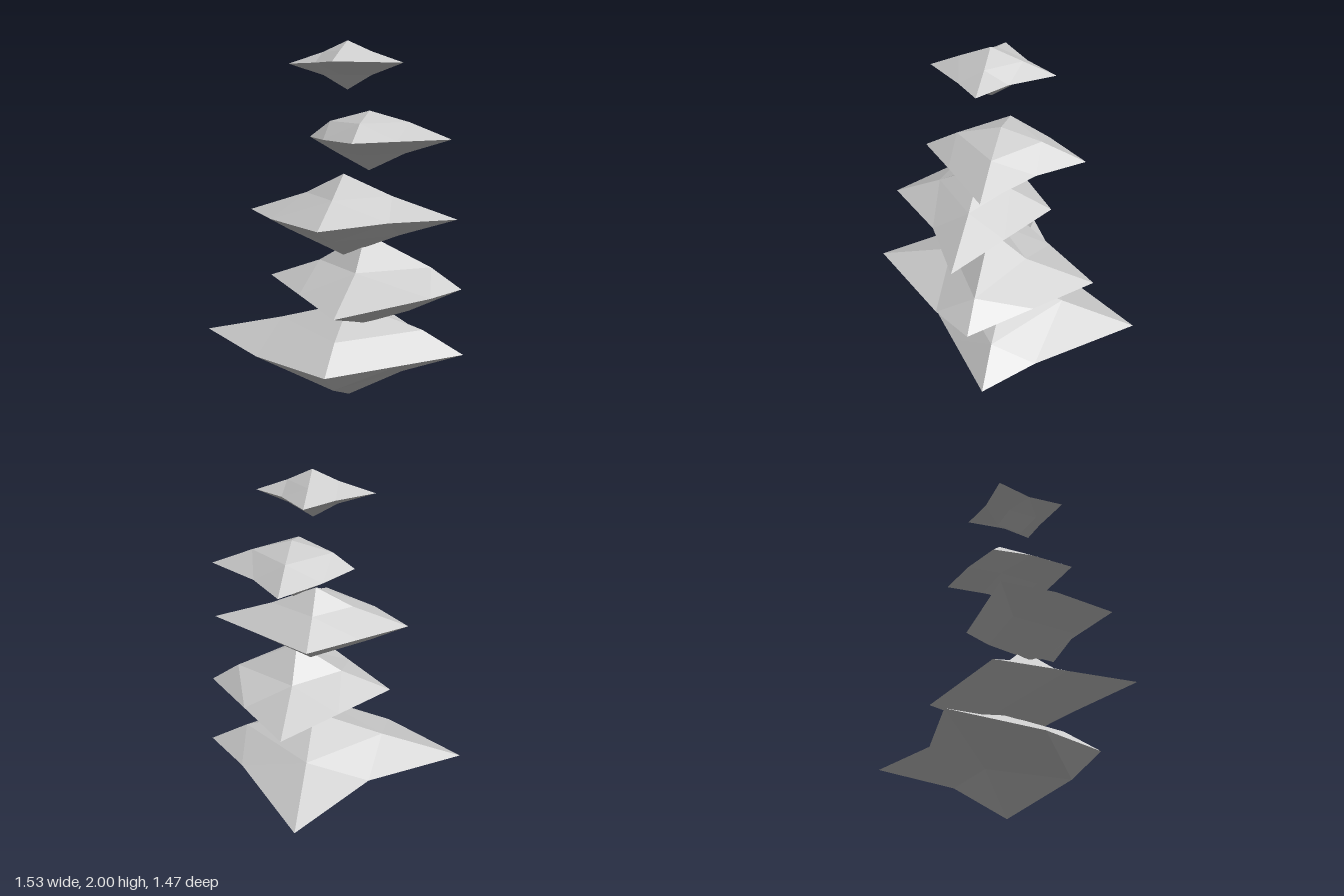
import * as THREE from 'three';

const EVEN = [0.5, 0.5];

// Each tier is an irregular octahedron with every edge split once.
// tips: reach along -x, +x, -y, +y, -z, +z from the centre.
// lift: height of the sloping edge points, as a share of the bottom and top tips.
// side, depth: reach of those points along x and z (low -, low +, high -, high +).
// waist: level edge points as shares of the x and z tips (-x-z, +x-z, -x+z, +x+z).
const TIERS = [
  {
    centre: [0.115, 0.315, 0.02], tips: [0.885, 0.648, 0.315, 0.245, 0.76, 0.51], lift: [0.43, 0.5],
    side: [0.35, 0.31, 0.41, 0.42], depth: [0.3, 0.35, 0.33, 0.32],
    waist: [[0.4, 0.39], [0.62, 0.32], [0.5, 0.65], EVEN],
  },
  {
    centre: [0.22, 0.71, 0.09], tips: [0.55, 0.525, 0.237, 0.275, 0.58, 0.645], lift: [0.6, 0.4],
    side: [0.25, 0.25, 0.26, 0.36], depth: [0.27, 0.255, 0.2, 0.225],
    waist: [EVEN, EVEN, EVEN, [0.74, 0.32]],
  },
  {
    centre: [0.115, 1.1, 0.16], tips: [0.53, 0.602, 0.225, 0.215, 0.385, 0.485], lift: [0.44, 0.5],
    side: [0.315, 0.305, 0.21, 0.26], depth: [0.245, 0.265, 0.16, 0.23],
    waist: [EVEN, EVEN, [0.61, 0.5], [0.47, 0.39]],
  },
  {
    centre: [0.22, 1.495, 0.02], tips: [0.335, 0.44, 0.175, 0.145, 0.42, 0.39], lift: [0.45, 0.6],
    side: [0.19, 0.195, 0.22, 0.215], depth: [0.175, 0.17, 0.2, 0.225],
    waist: [[0.57, 0.5], [0.38, 0.49], [0.6, 0.51], [0.43, 0.56]],
  },
  {
    centre: [0.115, 1.885, 0.09], tips: [0.325, 0.295, 0.135, 0.115, 0.315, 0.3], lift: [0.45, 0.5],
    side: [0.13, 0.13, 0.135, 0.13], depth: [0.115, 0.135, 0.155, 0.155],
    waist: [[0.42, 0.48], [0.48, 0.37], [0.42, 0.43], [0.58, 0.38]],
  },
];

function tierGeometry({ tips, lift, side, depth, waist }) {
  const positions = [];
  for (let octant = 0; octant < 8; octant++) {
    // 0 or 1 for the negative or positive side of each axis
    const i = octant & 1, j = (octant >> 1) & 1, k = octant >> 2;
    const sx = 2 * i - 1, sy = 2 * j - 1, sz = 2 * k - 1;
    // Three tips of this octant
    const x = sx * tips[i], y = sy * tips[2 + j], z = sz * tips[4 + k];
    const X = [x, 0, 0], Y = [0, y, 0], Z = [0, 0, z];
    // Three edge points between them
    const XY = [sx * side[i + 2 * j], y * lift[j], 0];
    const YZ = [0, y * lift[j], sz * depth[k + 2 * j]];
    const [shareX, shareZ] = waist[i + 2 * k];
    const XZ = [x * shareX, 0, z * shareZ];
    for (const [a, b, c] of [[X, XY, XZ], [XY, Y, YZ], [XZ, YZ, Z], [XY, YZ, XZ]]) {
      // Mirrored octants need the opposite corner order
      positions.push(...(sx * sy * sz > 0 ? [a, b, c] : [a, c, b]).flat());
    }
  }
  const geometry = new THREE.BufferGeometry();
  geometry.setAttribute('position', new THREE.Float32BufferAttribute(positions, 3));
  geometry.computeVertexNormals();
  return geometry;
}

export function createModel() {
  const group = new THREE.Group();
  group.name = 'stackedShards';
  const material = new THREE.MeshStandardMaterial({ color: 0xcccccc, flatShading: true });
  // Tiers from the ground up
  TIERS.forEach((tier, i) => {
    const mesh = new THREE.Mesh(tierGeometry(tier), material);
    mesh.name = `shardTier${i + 1}`;
    mesh.position.set(...tier.centre);
    group.add(mesh);
  });
  return group;
}
